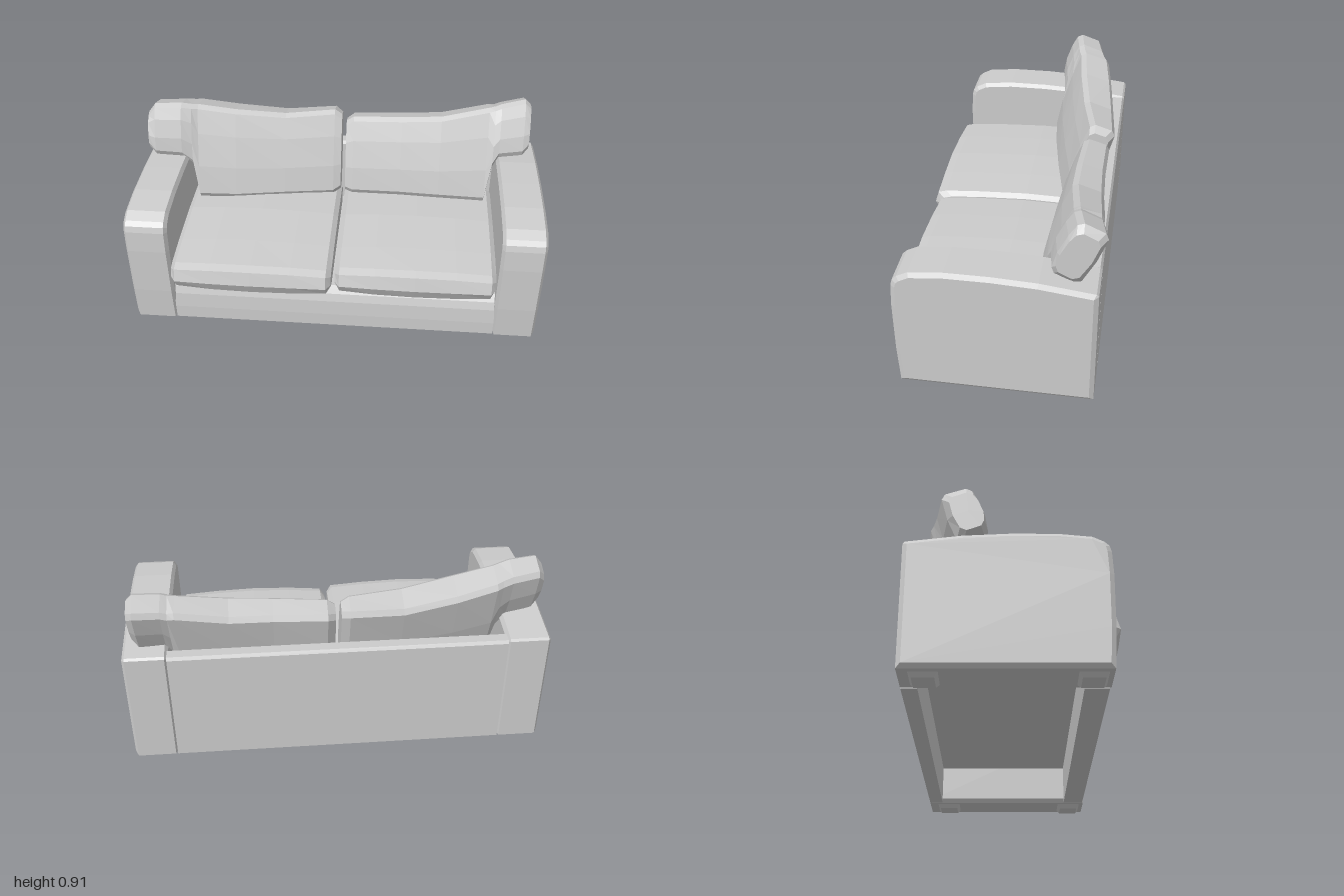
import * as THREE from 'three';

const fabric = new THREE.MeshStandardMaterial({ color: 0xcccccc, flatShading: true });
fabric.name = 'greyFabric';

function addMesh(parent, geometry, name) {
  const mesh = new THREE.Mesh(geometry, fabric);
  mesh.name = name;
  parent.add(mesh);
  return mesh;
}

// Extrude a [z, y] side profile along x from x0 to x1, with optional chamfer
function sideExtrude(profile, x0, x1, chamfer = 0) {
  const shape = new THREE.Shape(profile.map(([z, y]) => new THREE.Vector2(-z, y)));
  const thick = chamfer * 0.7;
  const geo = new THREE.ExtrudeGeometry(shape, {
    depth: x1 - x0 - 2 * thick, bevelEnabled: chamfer > 0, bevelSegments: 1,
    bevelSize: chamfer, bevelThickness: thick, bevelOffset: -chamfer,
  });
  return geo.rotateY(Math.PI / 2).translate(x0 + thick, 0, 0);
}

// Skin rings of [x, y, z] points; rings run along +x, counter-clockwise seen from +x
function loft(rings) {
  const n = rings[0].length, last = rings.length - 1;
  const pos = rings.flat(2), index = [];
  for (let i = 0; i < last; i++) {
    for (let j = 0; j < n; j++) {
      const a = i * n + j, b = i * n + (j + 1) % n;
      index.push(a, b, b + n, a, b + n, a + n);
    }
  }
  for (const i of [0, last]) {
    const c = pos.length / 3;
    for (let k = 0; k < 3; k++) pos.push(rings[i].reduce((s, p) => s + p[k], 0) / n);
    for (let j = 0; j < n; j++) {
      const a = i * n + j, b = i * n + (j + 1) % n;
      if (i) index.push(c, a, b); else index.push(c, b, a);
    }
  }
  const geo = new THREE.BufferGeometry();
  geo.setAttribute('position', new THREE.Float32BufferAttribute(pos, 3));
  geo.setIndex(index);
  geo.computeVertexNormals();
  return geo;
}

// Leaning pillow section: front face from (zb, yb) to (zt, yt), thickness t
function backSection([x, yb, yt, zb, zt, t]) {
  const len = Math.hypot(yt - yb, zt - zb);
  const uy = (yt - yb) / len, uz = (zt - zb) / len;
  const c = 0.022;
  const at = (up, back) => [x, yb + uy * up + uz * back, zb + uz * up - uy * back];
  return [
    at(c, 0), at(0, c), at(0, t - c), at(c, t), at(len / 2, t + 0.008),
    at(len - c, t), at(len, t - c), at(len, c), at(len - c, 0),
    at(len * 0.7, -0.01), at(len * 0.35, -0.012),
  ];
}

// Seat pillow section with a pointed front edge and slightly crowned top
function seatSection(x, front, top, low, back) {
  return [
    [x, low + 0.01, front - 0.03], [x, low, front - 0.07], [x, low, back + 0.03],
    [x, low + 0.07, back], [x, top + 0.015, back + 0.03],
    [x, top + 0.022, 0], [x, top + 0.012, 0.25],
    [x, top, front - 0.06], [x, top - 0.012, front - 0.018], [x, (top + low) / 2 - 0.005, front],
  ];
}

function seatCushion(x0, x1, front) {
  const w = x1 - x0;
  const stations = [
    [0, -0.045, 0.362, 0.275], [0.03, -0.012, 0.382, 0.25], [0.25, -0.004, 0.392, 0.243],
    [0.5, 0, 0.396, 0.242], [0.75, -0.004, 0.392, 0.243], [0.97, -0.008, 0.382, 0.25],
    [1, -0.04, 0.362, 0.275],
  ];
  return loft(stations.map(([k, dz, top, low]) =>
    seatSection(x0 + w * k, front + dz, top, low, -0.32)));
}

export function createModel() {
  const sofa = new THREE.Group();
  sofa.name = 'sofa';

  // Arms with rounded front shoulder
  const armProfile = [
    [0.42, 0.02], [0.43, 0.2], [0.433, 0.45], [0.428, 0.56], [0.42, 0.59], [0.4, 0.61],
    [0.35, 0.635], [0.2, 0.65], [0, 0.65], [-0.2, 0.64], [-0.44, 0.61], [-0.45, 0.6],
    [-0.45, 0.02],
  ];
  addMesh(sofa, sideExtrude(armProfile, 0.79, 1, 0.02), 'leftArm');
  addMesh(sofa, sideExtrude(armProfile, -1, -0.79, 0.02), 'rightArm');

  // Feet: short tapered blocks
  for (const sx of [1, -1]) {
    for (const z of [0.338, -0.345]) {
      const foot = new THREE.CylinderGeometry(Math.SQRT1_2, Math.SQRT1_2 * 0.72, 0.026, 4)
        .rotateY(Math.PI / 4).scale(0.14, 1, 0.13).translate(sx * 0.895, 0.013, z);
      addMesh(sofa, foot, 'foot');
    }
  }

  // Frame: sloped front rail, back panel and the deck under the seats
  addMesh(sofa, sideExtrude([
    [0.415, 0.02], [0.415, 0.09], [0.408, 0.17], [0.395, 0.21], [0.37, 0.245],
    [0.31, 0.245], [0.31, 0.02],
  ], -0.795, 0.795), 'frontRail');
  addMesh(sofa, sideExtrude([
    [-0.45, 0.02], [-0.45, 0.59], [-0.44, 0.605], [-0.39, 0.605], [-0.38, 0.59], [-0.38, 0.02],
  ], -0.795, 0.795), 'backPanel');
  addMesh(sofa, new THREE.BoxGeometry(1.59, 0.02, 0.72).translate(0, 0.232, -0.03), 'seatDeck');

  // Seat cushions
  addMesh(sofa, seatCushion(0.008, 0.785, 0.465), 'leftSeatCushion');
  addMesh(sofa, seatCushion(-0.79, -0.008, 0.49), 'rightSeatCushion');

  // Back cushions, notched over the arms: x, bottom y, top y, bottom z, top z, thickness
  const rightBack = [
    [-0.985, 0.7, 0.87, -0.1, -0.165, 0.11],
    [-0.95, 0.665, 0.915, -0.085, -0.17, 0.14],
    [-0.82, 0.65, 0.912, -0.1, -0.19, 0.15],
    [-0.77, 0.6, 0.9, -0.11, -0.2, 0.155],
    [-0.74, 0.42, 0.895, -0.07, -0.21, 0.16],
    [-0.55, 0.41, 0.862, -0.09, -0.23, 0.17],
    [-0.3, 0.41, 0.828, -0.13, -0.27, 0.16],
    [-0.05, 0.4, 0.832, -0.18, -0.32, 0.13],
    [-0.012, 0.42, 0.805, -0.2, -0.32, 0.1],
  ];
  const leftBack = [
    [0.012, 0.42, 0.78, -0.19, -0.3, 0.1],
    [0.05, 0.41, 0.806, -0.18, -0.3, 0.13],
    [0.3, 0.42, 0.82, -0.165, -0.29, 0.14],
    [0.5, 0.42, 0.833, -0.155, -0.29, 0.15],
    [0.74, 0.41, 0.88, -0.16, -0.32, 0.14],
    [0.77, 0.6, 0.888, -0.2, -0.325, 0.14],
    [0.8, 0.65, 0.9, -0.22, -0.33, 0.14],
    [0.92, 0.66, 0.92, -0.235, -0.355, 0.14],
    [0.95, 0.69, 0.89, -0.255, -0.355, 0.11],
  ];
  addMesh(sofa, loft(rightBack.map(backSection)), 'rightBackCushion');
  addMesh(sofa, loft(leftBack.map(backSection)), 'leftBackCushion');

  return sofa;
}
